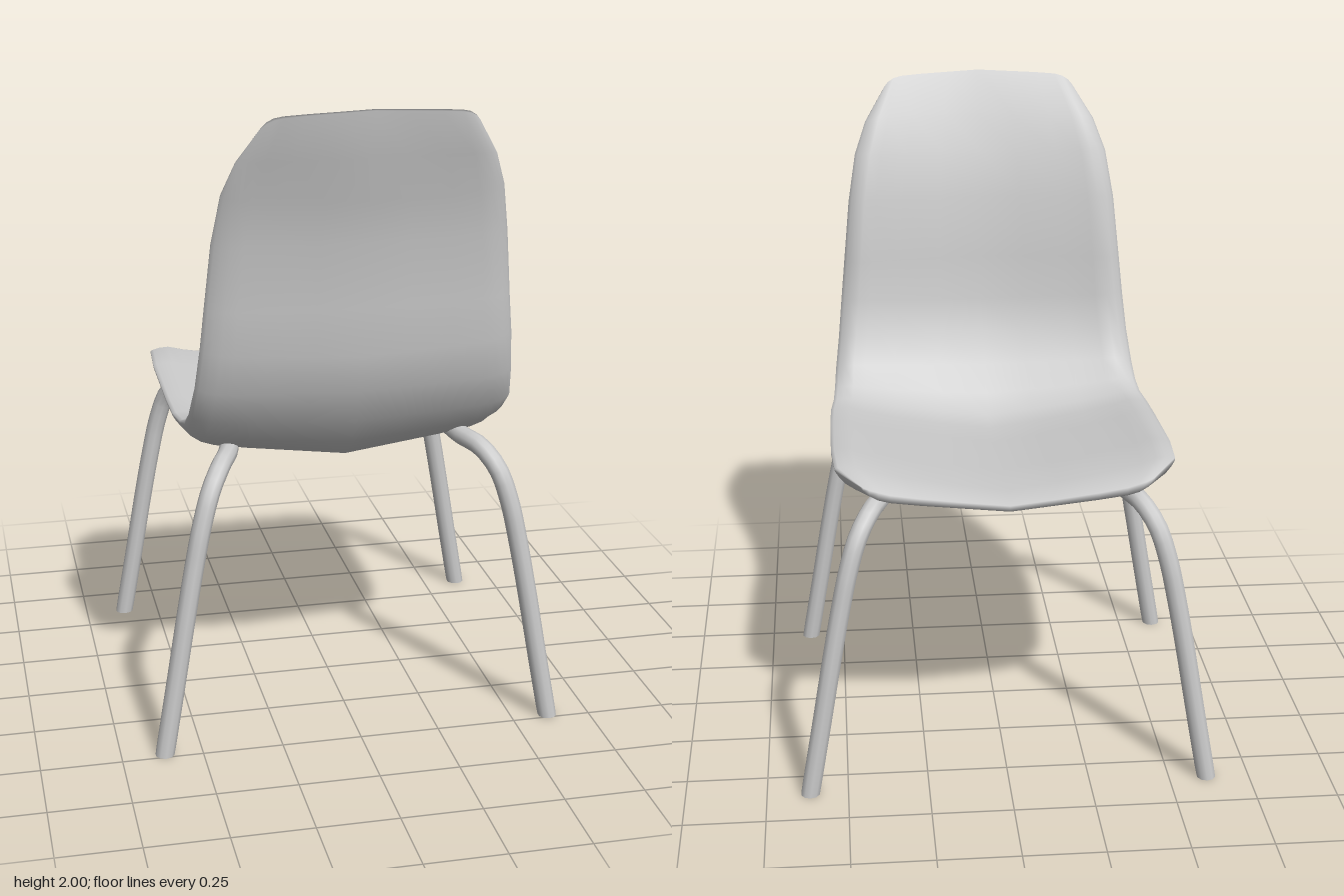
import * as THREE from 'three';

const material = new THREE.MeshStandardMaterial({ color: 0xcccccc });

// Shell stations, seat front (-z) to backrest top:
// centre z, centre y, rim z, rim y, half width, thickness scale, straightness of the V
const ROWS = [
  [-0.598, 0.92, -0.54, 0.99, 0.44, 0.3, 0.5],
  [-0.5, 0.895, -0.45, 1.008, 0.513, 0.9, 0.5],
  [-0.3, 0.876, -0.3, 1.004, 0.523, 1, 0.5],
  [0, 0.852, 0, 0.986, 0.523, 1, 0.5],
  [0.15, 0.846, 0.13, 0.98, 0.52, 1, 0.5],
  [0.26, 0.862, 0.22, 0.985, 0.51, 1, 0.5],
  [0.345, 0.93, 0.29, 1.005, 0.505, 1, 0.5],
  [0.415, 1.02, 0.35, 1.05, 0.5, 1, 0.5],
  [0.47, 1.13, 0.4, 1.15, 0.487, 1, 0.5],
  [0.503, 1.25, 0.432, 1.28, 0.474, 1, 0.5],
  [0.514, 1.4, 0.442, 1.4, 0.462, 1, 0.5],
  [0.535, 1.6, 0.465, 1.6, 0.442, 0.95, 0.5],
  [0.567, 1.73, 0.5, 1.75, 0.417, 0.85, 0.5],
  [0.6, 1.86, 0.54, 1.85, 0.38, 0.7, 0.5],
  [0.632, 2.0, 0.578, 1.945, 0.32, 0.2, 0.3],
];
// Columns across the half shell: position, thickness (swelling, then rolled off at the rim)
const HALF = [[0, 0.055], [0.3, 0.058], [0.6, 0.066], [0.8, 0.074], [0.88, 0.076],
  [0.94, 0.056], [0.98, 0.028], [1, 0.008]];
const COLS = [...HALF.slice(1).reverse().map(([u, t]) => [-u, t]), ...HALF];

// Outer surface: V-shaped across, turning up sharply at the rim
function outerPoint(i, j) {
  const [cz, cy, ez, ey, w, , straight] = ROWS[i];
  const u = Math.abs(COLS[j][0]);
  const f = straight * u + (1 - straight) * u ** 14;
  return new THREE.Vector3(w * COLS[j][0], cy + (ey - cy) * f, cz + (ez - cz) * f);
}

// Inner surface: offset square to the side profile
function innerPoint(i, j) {
  const [z0, y0] = ROWS[Math.max(i - 1, 0)];
  const [z1, y1] = ROWS[Math.min(i + 1, ROWS.length - 1)];
  const direction = new THREE.Vector3(0, z1 - z0, y0 - y1).normalize();
  return outerPoint(i, j).addScaledVector(direction, COLS[j][1] * ROWS[i][5]);
}

function shellGeometry() {
  const m = COLS.length, ring = 2 * m, last = ROWS.length - 1;
  const positions = [], index = [];
  ROWS.forEach((_, i) => {
    for (let j = 0; j < m; j++) positions.push(...outerPoint(i, j).toArray());
    for (let j = m - 1; j >= 0; j--) positions.push(...innerPoint(i, j).toArray());
  });
  // closed rings joined from station to station
  for (let i = 0; i < last; i++) {
    for (let k = 0; k < ring; k++) {
      const a = i * ring + k, b = i * ring + ((k + 1) % ring);
      index.push(a, b, a + ring, b, b + ring, a + ring);
    }
  }
  // front and top edges
  for (let j = 0; j < m - 1; j++) {
    const o = j, p = ring - 1 - j, t = last * ring;
    index.push(o, p, o + 1, o + 1, p, p - 1);
    index.push(t + o, t + o + 1, t + p, t + o + 1, t + p - 1, t + p);
  }
  const geometry = new THREE.BufferGeometry();
  geometry.setAttribute('position', new THREE.Float32BufferAttribute(positions, 3));
  geometry.setIndex(index);
  geometry.computeVertexNormals();
  return geometry;
}

// Leg pair on one side: a single bent tube, bowed inwards under the seat
// x, y, distance inwards from the foot along z
const LEG = [[0.617, 0, 0], [0.578, 0.22, 0.009], [0.538, 0.45, 0.018], [0.51, 0.6, 0.026], [0.482, 0.73, 0.036],
  [0.45, 0.83, 0.06], [0.41, 0.888, 0.115], [0.37, 0.9, 0.21], [0.345, 0.912, 0.36]];
const RADIUS = 0.03;

function legFrame(side) {
  const group = new THREE.Group();
  group.name = side > 0 ? 'leftLegFrame' : 'rightLegFrame';
  const front = LEG.map(([x, y, d]) => new THREE.Vector3(side * x, y, -0.602 + d));
  const rear = LEG.map(([x, y, d]) => new THREE.Vector3(side * x, y, 0.48 - d)).reverse();
  const path = new THREE.CatmullRomCurve3([...front, ...rear]);
  const geometry = new THREE.TubeGeometry(path, 72, RADIUS, 10);
  // cut the tube ends level with the floor
  const position = geometry.attributes.position;
  for (let i = 0; i < position.count; i++) {
    if (position.getY(i) < 0.015) position.setY(i, 0);
  }
  const tube = new THREE.Mesh(geometry, material);
  tube.name = 'legTube';
  group.add(tube);
  // closed feet
  for (const t of [0, 1]) {
    const foot = new THREE.Mesh(new THREE.CircleGeometry(RADIUS, 10), material);
    foot.name = t ? 'rearFoot' : 'frontFoot';
    foot.rotation.x = Math.PI / 2;
    foot.position.copy(path.getPointAt(t));
    group.add(foot);
  }
  return group;
}

export function createModel() {
  const chair = new THREE.Group();
  chair.name = 'chair';
  const shell = new THREE.Mesh(shellGeometry(), material);
  shell.name = 'seatShell';
  chair.add(shell, legFrame(1), legFrame(-1));
  return chair;
}
